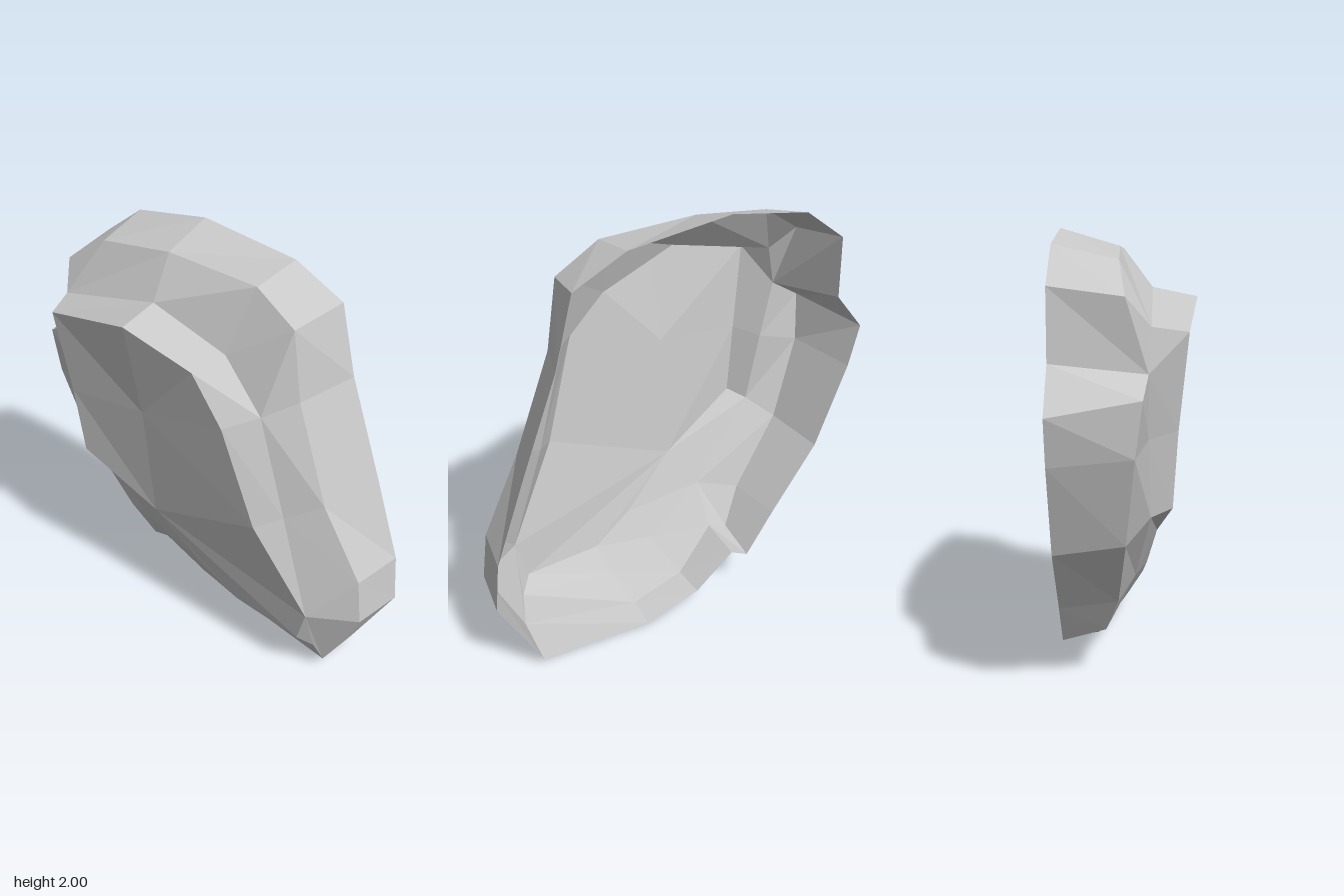
import * as THREE from 'three';

// Cross-section loops, clockwise from the upper left: [x, y, z]
const BACK_Z = -0.295;
const rim = [
  [-0.8, 1.79], [-0.59, 1.94], [-0.2, 2], [0.29, 1.94], [0.535, 1.82], [0.62, 1.5], [0.8, 1.03],
  [0.935, 0.66], [0.96, 0.43], [0.76, 0.045], [0.2, 0], [-0.08, 0.08], [-0.28, 0.24], [-0.375, 0.19],
  [-0.52, 0.4], [-0.755, 0.72], [-0.915, 1.12], [-0.965, 1.32], [-0.81, 1.5],
].map(([x, y]) => [x, y, BACK_Z]);

const shoulder = [
  [-0.775, 1.75, 0], [-0.57, 1.88, -0.03], [-0.19, 1.925, -0.04], [0.28, 1.905, -0.04], [0.48, 1.78, -0.03],
  [0.53, 1.46, -0.03], [0.7, 1, -0.02], [0.89, 0.65, -0.05], [0.92, 0.43, -0.05], [0.745, 0.065, -0.06],
  [0.2, 0.03, -0.16], [-0.07, 0.1, -0.15], [-0.28, 0.275, -0.09], [-0.375, 0.245, -0.1], [-0.48, 0.42, -0.04],
  [-0.72, 0.75, 0], [-0.855, 1.14, 0.04], [-0.865, 1.37, 0.07], [-0.73, 1.45, 0.09],
];

// Paired points at the foot and the lip of the raised face
const corners = {
  topLeft: [[-0.7, 1.63, 0.1], [-0.645, 1.605, 0.248]],
  top: [[-0.16, 1.75, 0.1], [-0.16, 1.71, 0.295]],
  topRight: [[0.21, 1.615, 0.07], [0.17, 1.59, 0.242]],
  right: [[0.415, 1.395, 0.085], [0.31, 1.36, 0.218]],
  midRight: [[0.55, 0.92, 0.07], [0.46, 0.88, 0.17]],
  lowRight: [[0.71, 0.43, 0.08], [0.71, 0.43, 0.08]],
  toe: [[0.72, 0.19, 0], [0.66, 0.25, 0.06]],
  bottom: [[0.26, 0.16, -0.045], [0.3, 0.275, 0.052]],
  lowLeft: [[0.03, 0.27, -0.01], [0.1, 0.4, 0.077]],
  waist: [[-0.28, 0.47, 0.03], [-0.16, 0.645, 0.125]],
  left: [[-0.61, 0.84, 0.1], [-0.555, 0.865, 0.19]],
  midLeft: [[-0.67, 1.18, 0.09], [-0.59, 1.2, 0.21]],
  ledge: [[-0.73, 1.45, 0.09], [-0.645, 1.605, 0.248]],
};
const order = ['topLeft', 'topLeft', 'top', 'topRight', 'right', 'right', 'midRight', 'lowRight', 'lowRight',
  'toe', 'bottom', 'lowLeft', 'waist', 'waist', 'waist', 'left', 'midLeft', 'ledge', 'ledge'];
const foot = order.map((n) => corners[n][0]);
const lip = order.map((n) => corners[n][1]);

// Flat-shaded surface from polygons listed clockwise, dropping collapsed triangles
function surface(polygons) {
  const out = [];
  const same = (a, b) => a.every((v, i) => v === b[i]);
  for (const p of polygons) {
    for (let i = 1; i < p.length - 1; i++) {
      const [a, b, c] = [p[0], p[i + 1], p[i]];
      if (!same(a, b) && !same(b, c) && !same(a, c)) out.push(...a, ...b, ...c);
    }
  }
  const g = new THREE.BufferGeometry();
  g.setAttribute('position', new THREE.Float32BufferAttribute(out, 3));
  g.computeVertexNormals();
  return g;
}

// Quads between an outer and an inner loop
function band(outer, inner) {
  return outer.map((p, i) => {
    const j = (i + 1) % outer.length;
    return [outer[j], inner[j], inner[i], p];
  });
}

export function createModel() {
  const group = new THREE.Group();
  group.name = 'rock';
  const stone = new THREE.MeshStandardMaterial({ color: 0xc8c8c8, side: THREE.DoubleSide, flatShading: true });
  stone.name = 'stone grey';
  const add = (name, polygons) => {
    const mesh = new THREE.Mesh(surface(polygons), stone);
    mesh.name = name;
    group.add(mesh);
  };

  // Sides, open at the back
  add('sideWall', band(rim, shoulder));
  add('slopedShoulder', band(shoulder, foot));
  add('raisedStep', band(foot, lip));

  // Faceted front
  const c = Object.fromEntries(Object.entries(corners).map(([k, v]) => [k, v[1]]));
  const middle = [-0.16, 1.24, 0.195];
  add('frontFace', [
    [c.topLeft, c.top, middle, c.midLeft],
    [middle, c.top, c.topRight, c.right],
    [middle, c.right, c.midRight, c.waist],
    [c.midLeft, middle, c.waist, c.left],
    [c.waist, c.midRight, c.lowRight, c.toe, c.bottom, c.lowLeft],
  ]);
  return group;
}
